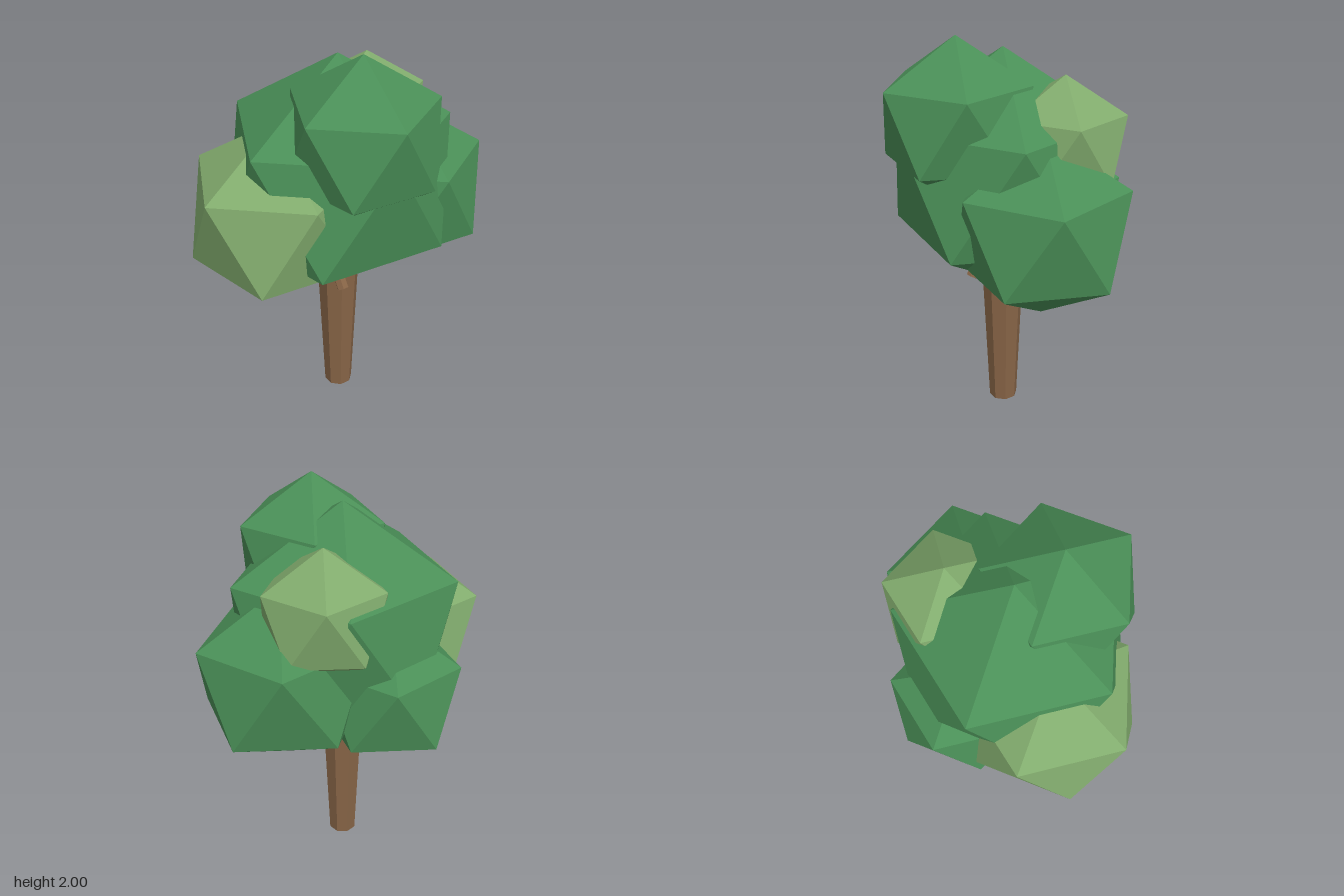
import * as THREE from 'three';

function material(name, color) {
  const m = new THREE.MeshStandardMaterial({ color, flatShading: true });
  m.name = name;
  return m;
}

export function createModel() {
  const tree = new THREE.Group();
  tree.name = 'tree';
  const bark = material('bark brown', 0x886547);
  const green = material('leaf green', 0x4a8f57);
  const light = material('light leaf green', 0x81ab6d);

  const add = (name, geometry, mat) => {
    const mesh = new THREE.Mesh(geometry, mat);
    mesh.name = name;
    tree.add(mesh);
    return mesh;
  };

  // Octagonal trunk, widening upwards into the crown
  add('trunk', new THREE.CylinderGeometry(0.114, 0.074, 0.95, 8), bark)
    .position.set(-0.014, 0.475, 0.025);

  // Short twig stub poking out under the crown at the front
  const tip = new THREE.Vector3(-0.019, 0.74, 0.186);
  const root = new THREE.Vector3(-0.055, 0.87, 0.115);
  const axis = root.clone().sub(tip);
  const twig = add('twig', new THREE.CylinderGeometry(0.03, 0.03, axis.length(), 6), bark);
  twig.position.copy(tip).add(root).multiplyScalar(0.5);
  twig.quaternion.setFromUnitVectors(new THREE.Vector3(0, 1, 0), axis.normalize());

  // Foliage clumps: icosahedra standing on a corner, [name, radius, x, y, z, material]
  const poleTilt = -Math.atan(2 / (1 + Math.sqrt(5)));
  const clumps = [
    ['mainFoliage', 0.61, -0.014, 1.317, 0.022, green],
    ['topFoliage', 0.397, 0.053, 1.603, 0.25, green],
    ['leftFoliage', 0.453, 0.335, 1.157, -0.1, green],
    ['backFoliage', 0.38, -0.14, 1.06, -0.26, green],
    ['rightLightFoliage', 0.47, -0.325, 1.19, 0.12, light],
    ['backLightFoliage', 0.322, 0.177, 1.508, -0.232, light],
  ];
  for (const [name, radius, x, y, z, mat] of clumps) {
    const geometry = new THREE.IcosahedronGeometry(radius, 0).rotateZ(poleTilt);
    add(name, geometry, mat).position.set(x, y, z);
  }
  return tree;
}
